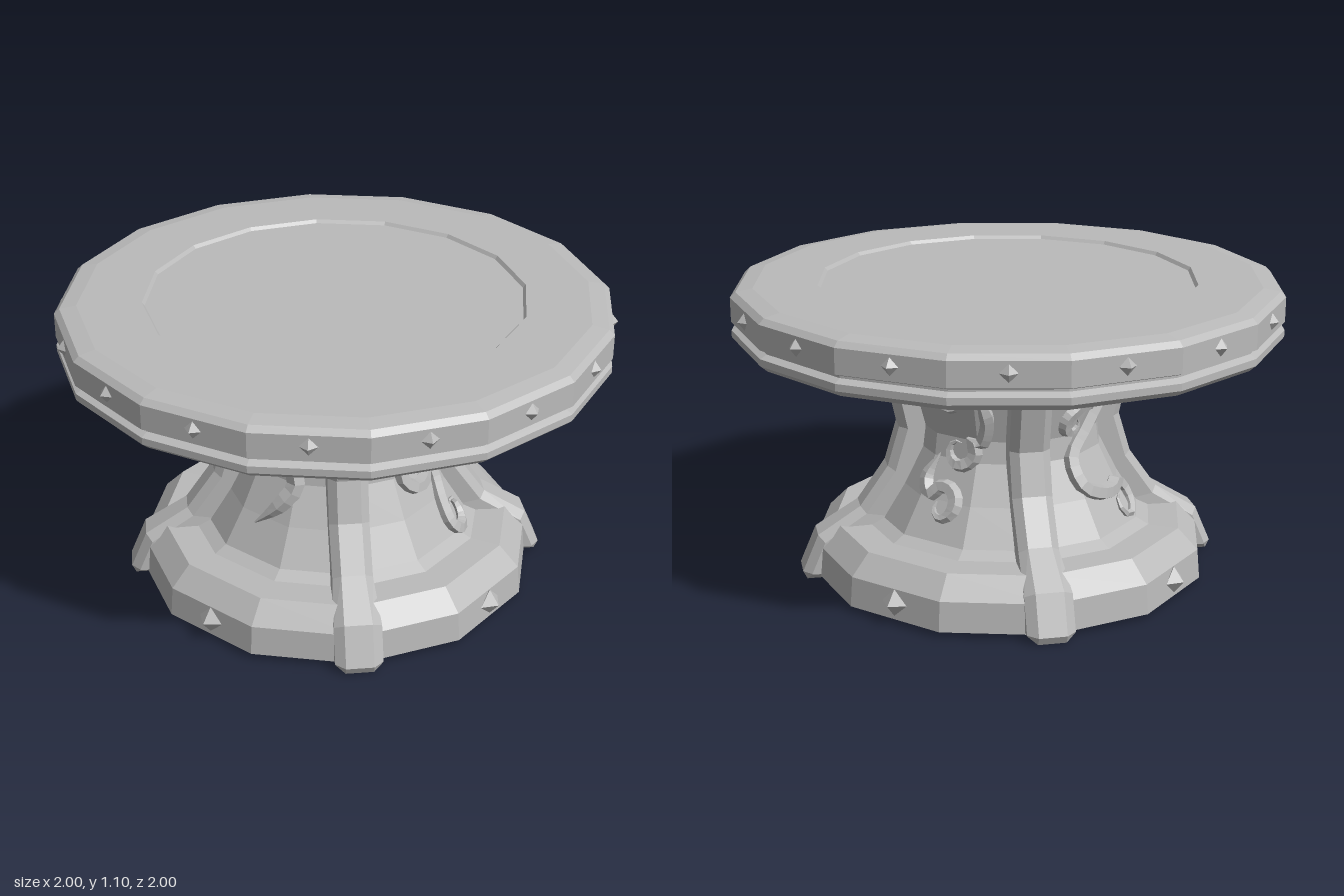
import * as THREE from 'three';

const stone = new THREE.MeshStandardMaterial({ color: 0xbababa, flatShading: true });
stone.name = 'grey stone';
const DEG = Math.PI / 180;

// column half-profile [radius, height], bottom to top
const COLUMN = [[0.56, 0.2], [0.5, 0.23], [0.42, 0.36], [0.35, 0.5], [0.34, 0.58], [0.38, 0.74], [0.47, 0.92]];

function mesh(geometry, name, parent) {
  const m = new THREE.Mesh(geometry, stone);
  m.name = name;
  parent.add(m);
  return m;
}

function lathe(profile, sides, name, parent) {
  return mesh(new THREE.LatheGeometry(profile.map(p => new THREE.Vector2(...p)), sides), name, parent);
}

// column radius at a height
function columnRadius(y) {
  for (let i = 1; i < COLUMN.length; i++) {
    const [r0, y0] = COLUMN[i - 1], [r1, y1] = COLUMN[i];
    if (y <= y1) return r0 + (r1 - r0) * Math.max(0, (y - y0) / (y1 - y0));
  }
  return COLUMN[COLUMN.length - 1][0];
}

// spiral of [sideways, height] points, winding inwards
function curl(u, y, size, start, sweep) {
  const pts = [];
  for (let i = 0; i <= 8; i++) {
    const t = i / 8, a = (start + sweep * t) * DEG, r = size * (1 - 0.6 * t);
    pts.push([u + r * Math.cos(a), y + r * Math.sin(a)]);
  }
  return pts;
}

// tapered tube laid on the column around a given bearing
function vine(bearing, pts, radius, parent) {
  const path = new THREE.CatmullRomCurve3(pts.map(([u, y]) => {
    const r = columnRadius(y), a = bearing * DEG + u / r;
    return new THREE.Vector3(r * Math.sin(a), y, r * Math.cos(a));
  }));
  const n = pts.length * 2, sides = 5;
  const geo = new THREE.TubeGeometry(path, n, radius, sides);
  const pos = geo.attributes.position, v = new THREE.Vector3();
  for (let i = 0; i <= n; i++) {
    const c = path.getPointAt(i / n);
    const k = Math.min(1, 5 * i / n, 0.1 + 3 * (1 - i / n));
    for (let j = 0; j <= sides; j++) {
      const id = i * (sides + 1) + j;
      v.fromBufferAttribute(pos, id).sub(c).multiplyScalar(k).add(c);
      pos.setXYZ(id, v.x, v.y, v.z);
    }
  }
  mesh(geo, 'carvedVine', parent);
}

// diamond stud facing outwards
function stud(bearing, r, y, size, name, parent) {
  const s = mesh(new THREE.OctahedronGeometry(size), name, parent);
  s.position.set(r * Math.sin(bearing), y, r * Math.cos(bearing));
  s.rotation.y = bearing;
  s.scale.z = 0.8;
}

export function createModel() {
  const root = new THREE.Group();
  root.name = 'stoneTable';

  // round top with a grooved rim and a sunken centre
  const top = new THREE.Group();
  top.name = 'tableTop';
  root.add(top);
  lathe([[0, 0.908], [0.975, 0.908], [1, 0.93], [1, 0.955], [0.975, 0.968], [0.975, 0.976],
    [1, 0.986], [1, 1.075], [0.98, 1.094], [0.92, 1.104], [0.69, 1.104], [0.68, 1.092], [0, 1.092]],
  16, 'slab', top);
  for (let i = 0; i < 16; i++) stud((i + 0.5) * Math.PI / 8, 0.98, 1.035, 0.032, 'rimStud', top);

  // base and waisted column
  lathe([[0, 0.02], [0.745, 0.02], [0.735, 0.13], [0.66, 0.205], [0.5, 0.207]], 12, 'base', root);
  lathe(COLUMN, 12, 'column', root);

  // four chamfered ribs running from the top down to the feet
  const outline = [[0.56, 0.95], [0.535, 0.905], [0.455, 0.755], [0.415, 0.57], [0.46, 0.42], [0.565, 0.27],
    [0.725, 0.17], [0.785, 0.03], [0.77, 0], [0.67, 0], [0.6, 0.1], [0.38, 0.2], [0.24, 0.42],
    [0.22, 0.58], [0.26, 0.76], [0.34, 0.95]];
  const rib = new THREE.ExtrudeGeometry(new THREE.Shape(outline.map(p => new THREE.Vector2(...p))), {
    depth: 0.085, bevelThickness: 0.03, bevelSize: 0.028, bevelOffset: -0.028, bevelSegments: 1,
  });
  rib.translate(0, 0, -0.0425);
  const rp = rib.attributes.position;
  for (let i = 0; i < rp.count; i++) if (rp.getY(i) < 0.22) rp.setZ(i, rp.getZ(i) * 1.18);
  for (let i = 0; i < 4; i++) {
    mesh(rib, 'rib', root).rotation.y = i * Math.PI / 2;
    stud((i + 0.5) * Math.PI / 2, 0.715, 0.08, 0.052, 'baseStud', root);
  }

  // curling vines, different in each quarter
  const vines = new THREE.Group();
  vines.name = 'vines';
  root.add(vines);
  // front left quarter
  vine(45, [[-0.02, 0.82], [-0.07, 0.7], ...curl(0.02, 0.51, 0.085, 150, 400)], 0.03, vines);
  vine(45, [[0.08, 0.56], [0.12, 0.45], [0.1, 0.35], ...curl(0.16, 0.29, 0.065, 190, 300)], 0.028, vines);
  // back left quarter
  vine(135, [[0.1, 0.86], [0.12, 0.76], ...curl(0.01, 0.74, 0.07, 20, 380)], 0.028, vines);
  vine(135, [[0.12, 0.8], [0.14, 0.66], [0.1, 0.57], ...curl(0.02, 0.54, 0.07, 40, -330)], 0.028, vines);
  vine(135, [[-0.06, 0.52], [-0.1, 0.42], ...curl(0, 0.35, 0.07, 160, -360)], 0.028, vines);
  // back right quarter
  vine(225, [[0.1, 0.86], [0.06, 0.72], [-0.02, 0.6], [-0.1, 0.5], [-0.1, 0.4], [-0.02, 0.36],
    ...curl(0.09, 0.3, 0.07, 130, -400)], 0.032, vines);
  vine(225, [[0.02, 0.66], [-0.06, 0.7], ...curl(-0.09, 0.63, 0.05, 100, 300)], 0.025, vines);
  // front right quarter
  vine(315, [[0.06, 0.86], [0.06, 0.8], ...curl(-0.02, 0.73, 0.07, 40, -380)], 0.028, vines);
  vine(315, [[-0.06, 0.66], [0, 0.58], [0.07, 0.56], [0.09, 0.5], [0.05, 0.42], [-0.03, 0.34]], 0.035, vines);

  return root;
}
